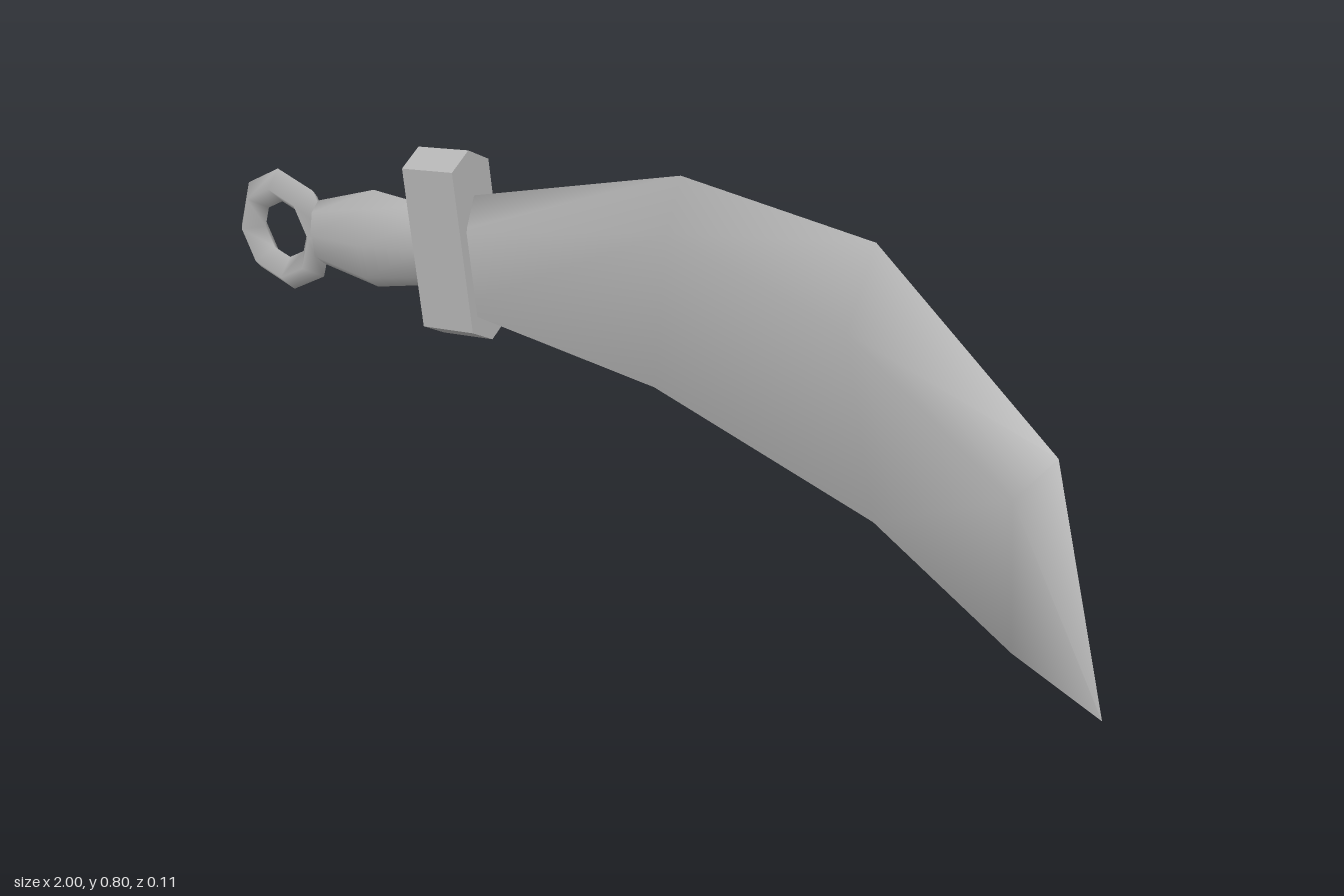
import * as THREE from 'three';

// Skin a list of equal-length rings that advance along +x
function loft(rings) {
  const n = rings[0].length, index = [];
  for (let i = 0; i < rings.length - 1; i++) {
    for (let j = 0; j < n; j++) {
      const k = (j + 1) % n;
      const a = i * n + j, b = i * n + k, c = b + n, d = a + n;
      index.push(a, b, d, b, c, d);
    }
  }
  const geo = new THREE.BufferGeometry();
  geo.setAttribute('position', new THREE.Float32BufferAttribute(rings.flat(2), 3));
  geo.setIndex(index);
  geo.computeVertexNormals();
  return geo;
}

export function createModel() {
  const group = new THREE.Group();
  const steel = new THREE.MeshStandardMaterial({ color: 0xb4b4b4 });
  steel.name = 'grey steel';
  const add = (name, geo) => {
    const mesh = new THREE.Mesh(geo, steel);
    mesh.name = name;
    group.add(mesh);
    return mesh;
  };

  // Curved blade: sharp convex edge, bevel shoulder, flat spine on the concave side
  const T = 0.035;
  const stations = [ // edge x,y, shoulder x,y, spine x,y
    [-0.42, 0.65, -0.41, 0.59, -0.39, 0.44],
    [0.12, 0.80, 0.115, 0.70, 0.09, 0.395],
    [0.52, 0.76, 0.49, 0.60, 0.56, 0.26],
    [0.88, 0.46, 0.82, 0.38, 0.84, 0.094],
    [1, 0, 1, 0, 1, 0],
  ];
  add('blade', loft(stations.map(([ex, ey, sx, sy, bx, by], i) => {
    const t = i === stations.length - 1 ? 0 : T;
    return [[ex, ey, 0], [sx, sy, t], [bx, by, t], [bx, by, -t], [sx, sy, -t]];
  })));

  // Guard: bar with pitched ends, tilted with the hilt
  const section = new THREE.Shape([
    [0, 0.19], [-0.054, 0.16], [-0.054, -0.16], [0, -0.19], [0.054, -0.16], [0.054, 0.16],
  ].map(([z, y]) => new THREE.Vector2(z, y)));
  const guardGeo = new THREE.ExtrudeGeometry(section, { depth: 0.127, bevelEnabled: false });
  guardGeo.translate(0, 0, -0.0635).rotateY(Math.PI / 2);
  const guard = add('guard', guardGeo);
  guard.position.set(-0.41, 0.558, 0);
  guard.rotation.z = 0.125;

  // Swelling grip
  const SIDES = 8;
  const grip = [ // x, centre y, half height, half depth
    [-0.785, 0.505, 0, 0],
    [-0.775, 0.505, 0.067, 0.028],
    [-0.62, 0.523, 0.103, 0.054],
    [-0.47, 0.54, 0.082, 0.04],
    [-0.40, 0.55, 0.07, 0.035],
  ];
  add('grip', loft(grip.map(([x, y, h, d]) => Array.from({ length: SIDES }, (_, j) => {
    const a = j / SIDES * Math.PI * 2;
    return [x, y + Math.cos(a) * h, Math.sin(a) * d];
  }))));

  // Ring pommel
  const ring = add('pommelRing', new THREE.TorusGeometry(0.095, 0.035, 4, 8));
  ring.position.set(-0.871, 0.49, 0);
  ring.rotation.z = 0.1;

  return group;
}
